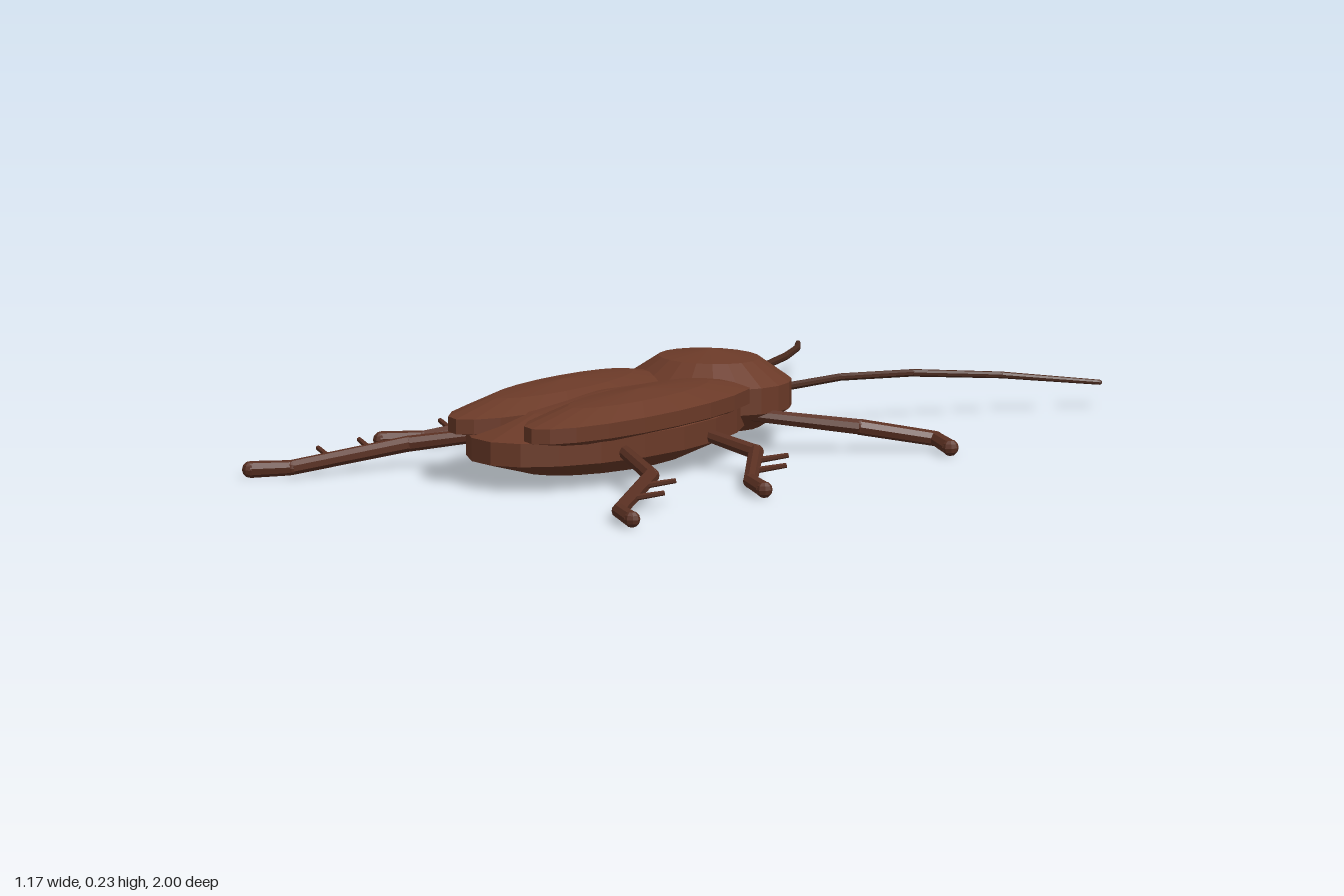
import * as THREE from 'three';

const shell = new THREE.MeshStandardMaterial({ color: 0x6b3a28, flatShading: true });
const limb = new THREE.MeshStandardMaterial({ color: 0x5a3022, flatShading: true });
const feeler = new THREE.MeshStandardMaterial({ color: 0x4a2a1e, flatShading: true });

function add(parent, name, geometry, material) {
  const mesh = new THREE.Mesh(geometry, material);
  mesh.name = name;
  parent.add(mesh);
  return mesh;
}

// Flattened low-poly ellipsoid with a straight band around its rim
function ellipsoid(parent, name, center, radii) {
  const mesh = add(parent, name, new THREE.SphereGeometry(1, 20, 5), shell);
  mesh.position.set(...center);
  mesh.scale.set(...radii);
  return mesh;
}

// Tapered rod from a to b
function rod(parent, name, a, b, ra, rb, material, sides = 8) {
  const dir = b.clone().sub(a);
  const mesh = add(parent, name, new THREE.CylinderGeometry(rb, ra, dir.length(), sides), material);
  mesh.position.copy(a).addScaledVector(dir, 0.5);
  mesh.quaternion.setFromUnitVectors(new THREE.Vector3(0, 1, 0), dir.normalize());
}

// Chain of rods with ball joints; radii holds one radius per point
function chain(parent, name, points, radii, material) {
  for (let i = 0; i < points.length - 1; i++) {
    rod(parent, name + 'Segment', points[i], points[i + 1], radii[i], radii[i + 1], material);
    add(parent, name + 'Joint', new THREE.SphereGeometry(radii[i + 1], 8, 6), material)
      .position.copy(points[i + 1]);
  }
}

// Hip, knee, ankle and toe of each leg on the +x side
const legs = [
  { name: 'frontLeg', spines: false, path: [[0.12, 0.1, 0.015], [0.36, 0.065, -0.17], [0.48, 0.03, -0.31], [0.565, 0.025, -0.255]] },
  { name: 'middleLeg', spines: true, path: [[0.12, 0.1, 0.22], [0.36, 0.06, 0.23], [0.485, 0.03, 0.415], [0.565, 0.025, 0.467]] },
  { name: 'hindLeg', spines: true, path: [[0.12, 0.1, 0.48], [0.36, 0.06, 0.635], [0.485, 0.03, 0.925], [0.563, 0.025, 0.978]] },
];
const antenna = [[0.06, 0.115, -0.23], [0.115, 0.123, -0.42], [0.187, 0.115, -0.605], [0.302, 0.095, -0.8], [0.445, 0.066, -0.992]];

export function createModel() {
  const model = new THREE.Group();
  model.name = 'beetle';

  // Body
  ellipsoid(model, 'abdomen', [0, 0.095, 0.34], [0.245, 0.09, 0.47]);
  ellipsoid(model, 'thoraxShield', [0, 0.13, -0.063], [0.215, 0.1, 0.182]);
  ellipsoid(model, 'head', [0, 0.105, -0.215], [0.108, 0.065, 0.103]);

  for (const side of [1, -1]) {
    const label = side > 0 ? 'left' : 'right';
    const vec = ([x, y, z]) => new THREE.Vector3(side * x, y, z);

    // Wing case
    ellipsoid(model, label + 'WingCase', [side * 0.112, 0.146, 0.36], [0.129, 0.058, 0.435]);

    // Legs with spines on the shins
    for (const { name, spines, path } of legs) {
      const leg = new THREE.Group();
      leg.name = label + name[0].toUpperCase() + name.slice(1);
      model.add(leg);
      const points = path.map(vec);
      chain(leg, 'leg', points, [0.015, 0.019, 0.018, 0.02], limb);
      if (!spines) continue;
      for (const t of [0.3, 0.65]) {
        const base = points[1].clone().lerp(points[2], t);
        const tip = base.clone().add(vec([0.07, 0.015, -0.04]));
        rod(leg, 'legSpine', base, tip, 0.008, 0.006, limb, 6);
      }
    }

    // Antenna
    const antennaGroup = new THREE.Group();
    antennaGroup.name = label + 'Antenna';
    model.add(antennaGroup);
    chain(antennaGroup, 'antenna', antenna.map(vec), [0.01, 0.009, 0.009, 0.008, 0.006], feeler);
  }
  return model;
}
